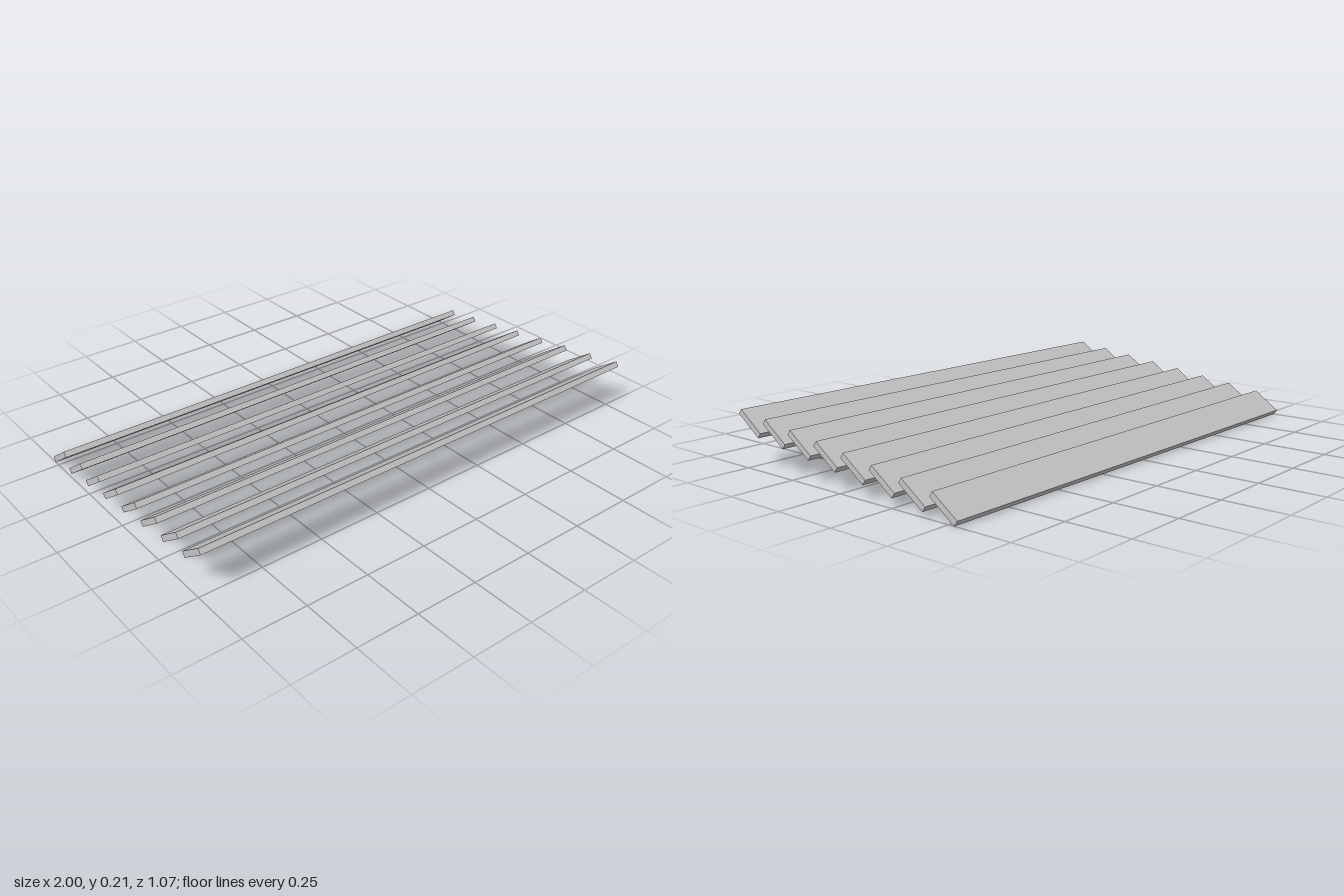
import * as THREE from 'three';

const SLATS = 8;

export function createModel() {
  const model = new THREE.Group();
  model.name = 'louvre';

  const slatGrey = new THREE.MeshStandardMaterial({ color: 0xc4c4c4 });
  slatGrey.name = 'slatGrey';

  // Long flat slats, tilted up towards the front, each a step higher than the one behind
  const slatGeometry = new THREE.BoxGeometry(2, 0.023, 0.128);
  for (let i = 0; i < SLATS; i++) {
    const slat = new THREE.Mesh(slatGeometry, slatGrey);
    slat.name = `slat${i + 1}`;
    slat.position.set(0, 0.0465 + i * 0.0171, (i - (SLATS - 1) / 2) * 0.1366);
    slat.rotation.x = -THREE.MathUtils.degToRad(35);
    model.add(slat);
  }
  return model;
}
